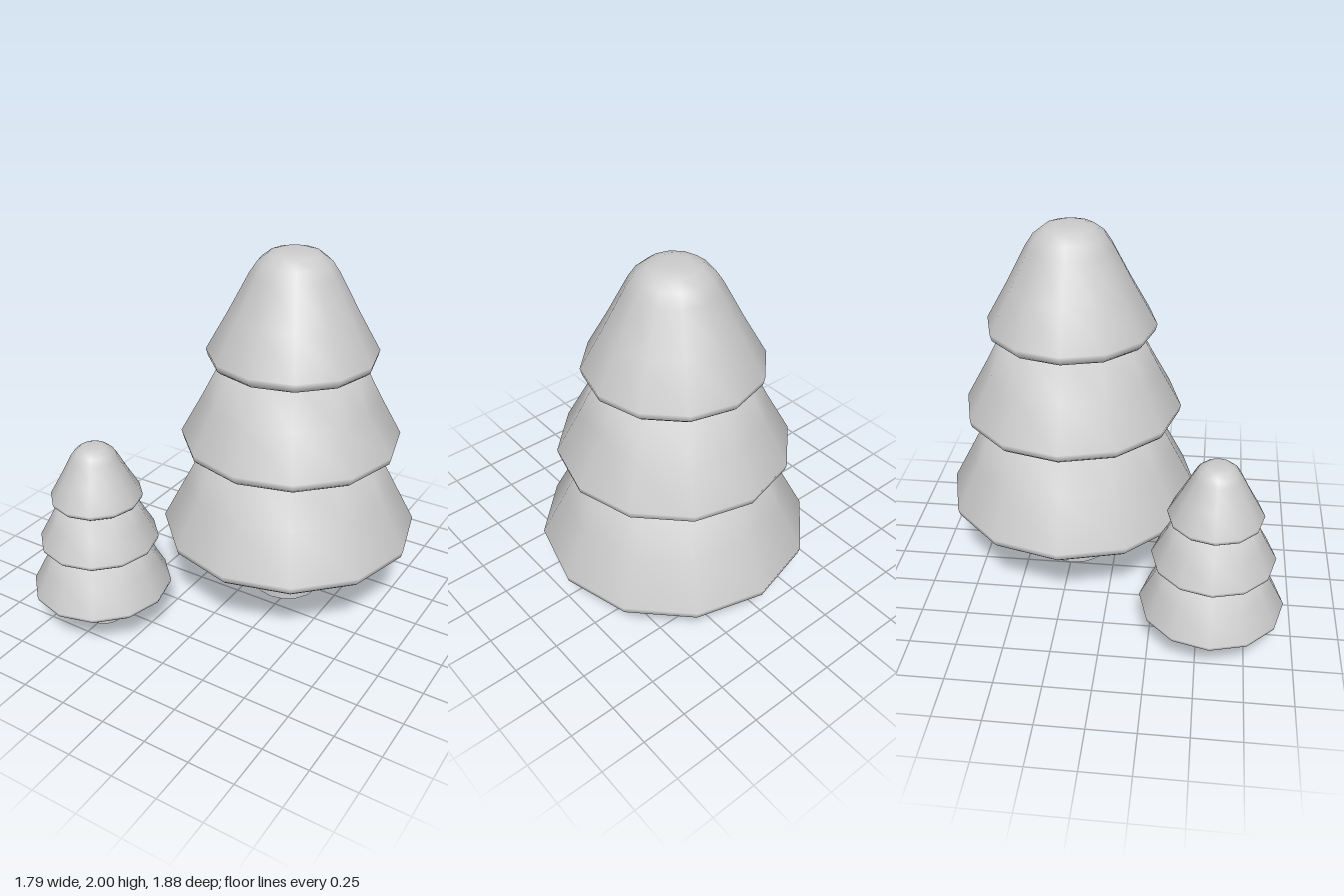
import * as THREE from 'three';

const material = new THREE.MeshStandardMaterial({ color: 0xcccccc });
const SIDES = 12;

// One skirt of foliage: flat underside, small rounded rim, then the given slope points [radius, y].
function tierGeometry(bottom, radius, slope) {
  const profile = [
    [0, bottom], [radius - 0.06, bottom], [radius - 0.03, bottom],
    [radius - 0.01, bottom + 0.018], [radius, bottom + 0.055], ...slope,
  ].map(([r, y]) => new THREE.Vector2(r, y));
  return new THREE.LatheGeometry(profile, SIDES);
}

// Pushes the +x corner of one ring inward for a slight unevenness.
function dent(geometry, y, from, to) {
  const p = geometry.attributes.position;
  for (let i = 0; i < p.count; i++) {
    if (Math.abs(p.getY(i) - y) < 0.001 && p.getX(i) > from * 0.95) p.setX(i, to);
  }
  return geometry;
}

function createTree(name, x, z, scale, uneven) {
  const tree = new THREE.Group();
  tree.name = name;
  const add = (part, geometry) => {
    const mesh = new THREE.Mesh(geometry, material);
    mesh.name = part;
    tree.add(mesh);
    return mesh;
  };

  // Trunk
  add('trunk', new THREE.CylinderGeometry(0.19, 0.19, 0.42, 16)).position.y = 0.21;

  // Three stacked skirts, the top one ending in a rounded tip
  add('lowerFoliage', tierGeometry(0.39, 0.703, [[0.575, 0.69], [0.44, 0.95], [0, 0.97]]));
  const middle = tierGeometry(0.93, 0.595, [[0.477, 1.2], [0.36, 1.43], [0, 1.45]]);
  add('middleFoliage', uneven ? dent(middle, 1.2, 0.477, 0.44) : middle);
  add('upperFoliage', tierGeometry(1.41, 0.455, [
    [0.34, 1.67], [0.23, 1.88], [0.19, 1.94], [0.135, 1.983], [0.08, 2], [0, 2],
  ]));

  tree.position.set(x, 0, z);
  tree.scale.setScalar(scale);
  return tree;
}

export function createModel() {
  const model = new THREE.Group();
  model.name = 'twoTrees';
  model.add(createTree('largeTree', 0.19, -0.24, 1, true));
  model.add(createTree('smallTree', -0.52, 0.568, 0.532, false));
  return model;
}
